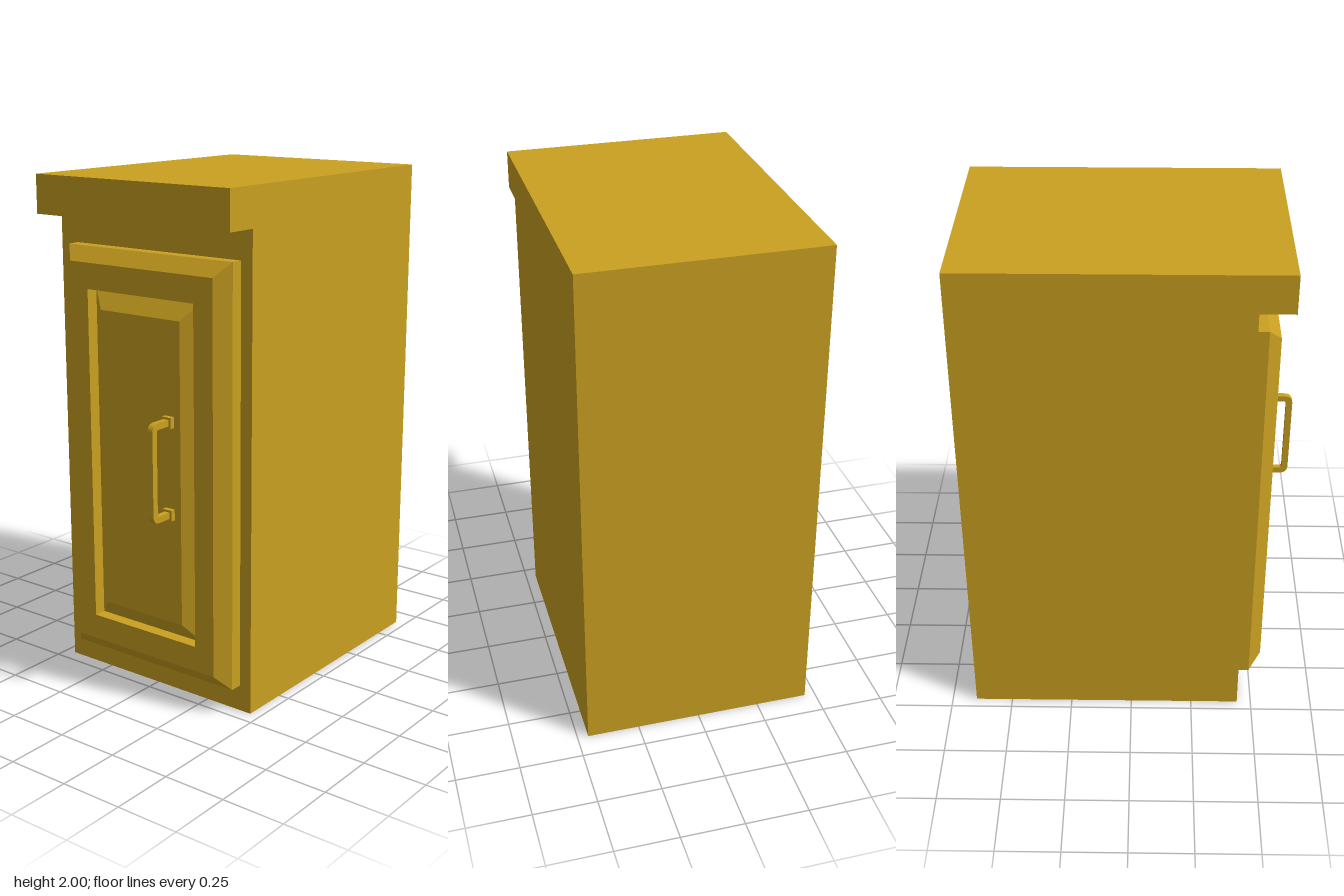
import * as THREE from 'three';

const material = new THREE.MeshStandardMaterial({ color: 0xc9a020 });

// Extrudes a side profile drawn in (z, y) across the width, centred on x
function sideExtrude(shape, width, x = 0) {
  const geo = new THREE.ExtrudeGeometry(shape, { depth: width, bevelEnabled: false, curveSegments: 8 });
  geo.translate(0, 0, -width / 2);
  geo.rotateY(-Math.PI / 2);
  geo.translate(x, 0, 0);
  return geo;
}

// Joins nested rectangles [left, right, bottom, top, z] with flat faces and caps the last
function rectLoft(rings) {
  const corners = rings.map(([l, r, b, t, z]) => [[l, b, z], [r, b, z], [r, t, z], [l, t, z]]);
  const pos = [];
  const quad = (a, b, c, d) => pos.push(...a, ...b, ...c, ...a, ...c, ...d);
  for (let i = 0; i < corners.length - 1; i++) {
    for (let j = 0; j < 4; j++) {
      const k = (j + 1) % 4;
      quad(corners[i][j], corners[i][k], corners[i + 1][k], corners[i + 1][j]);
    }
  }
  quad(...corners[corners.length - 1]);
  const geo = new THREE.BufferGeometry();
  geo.setAttribute('position', new THREE.Float32BufferAttribute(pos, 3));
  geo.computeVertexNormals();
  return geo;
}

export function createModel() {
  const group = new THREE.Group();
  const add = (name, geo, parent = group) => {
    const mesh = new THREE.Mesh(geo, material);
    mesh.name = name;
    parent.add(mesh);
    return mesh;
  };

  // Cabinet body with overhanging worktop
  const body = new THREE.Shape([
    [-0.65, 0], [0.443, 0], [0.443, 1.85], [0.575, 1.85], [0.575, 2], [-0.65, 2],
  ].map(([z, y]) => new THREE.Vector2(z, y)));
  add('cabinetBody', sideExtrude(body, 0.914));

  // Door: bevelled rim, flat frame, groove and raised panel
  add('door', rectLoft([
    [-0.375, 0.407, 0.103, 1.735, 0.443],
    [-0.375, 0.407, 0.103, 1.735, 0.492],
    [-0.325, 0.355, 0.16, 1.68, 0.541],
    [-0.24, 0.268, 0.26, 1.58, 0.541],
    [-0.24, 0.268, 0.26, 1.58, 0.492],
    [-0.175, 0.204, 0.332, 1.508, 0.541],
  ]));

  // Handle: rounded square-section bar on two mounting blocks
  const handle = new THREE.Group();
  handle.name = 'handle';
  group.add(handle);
  const hx = 0.153, z0 = 0.55, z1 = 0.653, y0 = 0.757, y1 = 1.14, t = 0.025, r = 0.035;
  const bar = new THREE.Shape();
  bar.moveTo(z0, y0);
  bar.lineTo(z1 - r, y0);
  bar.quadraticCurveTo(z1, y0, z1, y0 + r);
  bar.lineTo(z1, y1 - r);
  bar.quadraticCurveTo(z1, y1, z1 - r, y1);
  bar.lineTo(z0, y1);
  bar.lineTo(z0, y1 - t);
  bar.lineTo(z1 - r, y1 - t);
  bar.quadraticCurveTo(z1 - t, y1 - t, z1 - t, y1 - r);
  bar.lineTo(z1 - t, y0 + r);
  bar.quadraticCurveTo(z1 - t, y0 + t, z1 - r, y0 + t);
  bar.lineTo(z0, y0 + t);
  bar.closePath();
  add('handleBar', sideExtrude(bar, 0.024, hx), handle);
  for (const y of [y0 + t / 2, y1 - t / 2]) {
    add('handleMount', new THREE.BoxGeometry(0.042, 0.042, 0.022), handle).position.set(hx, y, 0.55);
  }

  return group;
}
